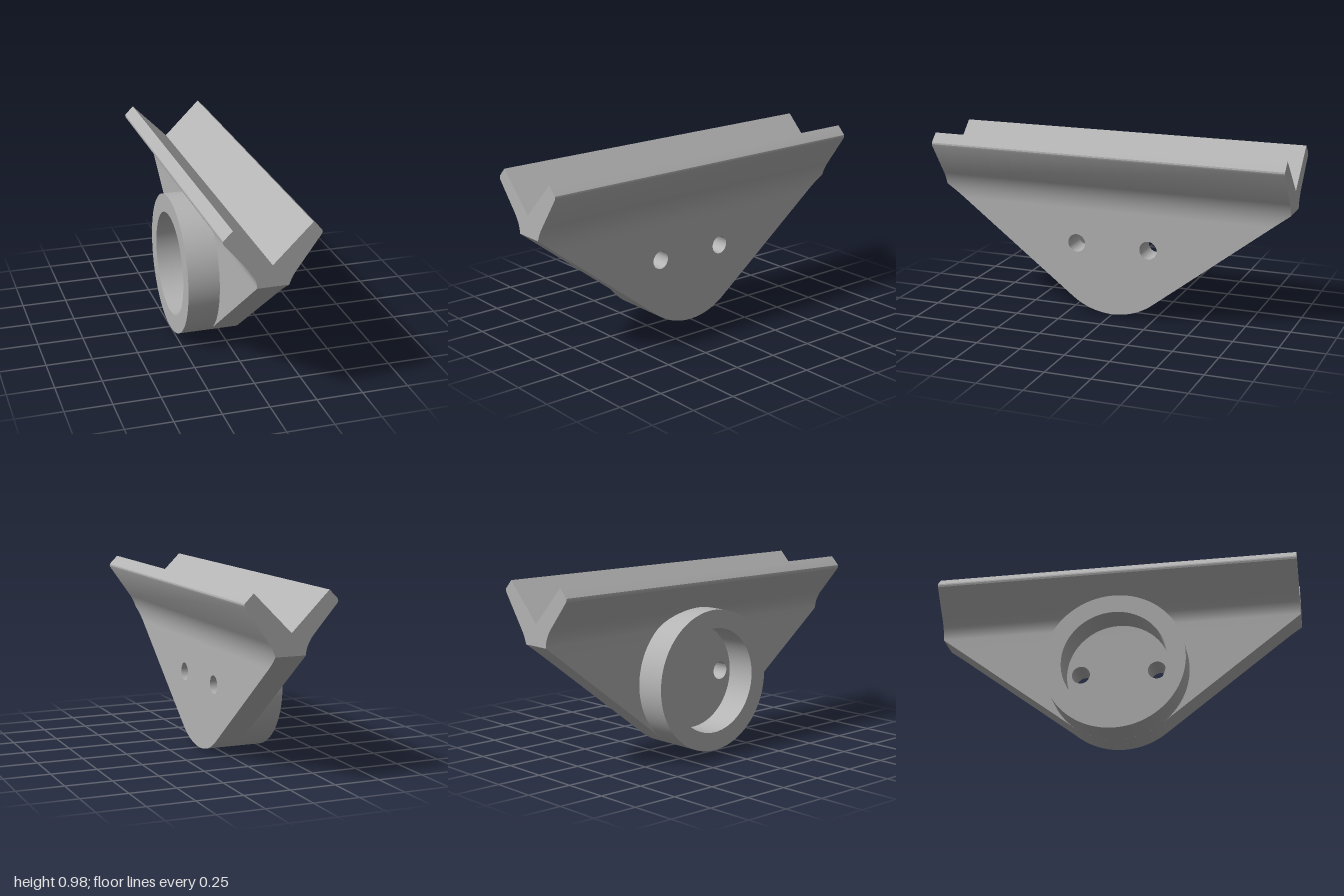
import * as THREE from 'three';
import { mergeGeometries, toCreasedNormals } from 'three/addons/utils/BufferGeometryUtils.js';

const RADIUS = 0.388, CENTER_Y = 0.39;      // round bottom of the web and the collar
const WEB_LEFT = 0.075, WEB_RIGHT = -0.078; // faces of the web in x
const NECK_Y = 0.59;                        // where the fillet starts

const v = (x, y) => new THREE.Vector2(x, y);

function circleHole(x, y, r) {
  const path = new THREE.Path();
  path.absarc(x, y, r, 0, Math.PI * 2, true);
  return path;
}

// Extrude a profile drawn in (z, y) along x, starting at x0
function extrudeAlongX(shape, x0, depth) {
  const geo = new THREE.ExtrudeGeometry(shape, { depth, bevelEnabled: false, curveSegments: 48 });
  geo.rotateY(Math.PI / 2);
  geo.translate(x0, 0, 0);
  return geo;
}

// Extrude a profile drawn in (x, y) over the whole length
function extrudeAlongZ(points) {
  const geo = new THREE.ExtrudeGeometry(new THREE.Shape(points), { depth: 2, bevelEnabled: false });
  geo.translate(0, 0, -1);
  return geo;
}

export function createModel() {
  const group = new THREE.Group();
  const grey = new THREE.MeshStandardMaterial({ color: 0xb4b4b4 });
  grey.name = 'grey';

  // Fillets from the web into the two arms
  const leftFillet = new THREE.QuadraticBezierCurve(
    v(WEB_LEFT, NECK_Y), v(WEB_LEFT, 0.672), v(0.12, 0.738)).getPoints(16);
  const railY = leftFillet[8].y;
  const rightFillet = new THREE.QuadraticBezierCurve(
    v(WEB_RIGHT, railY), v(WEB_RIGHT, 0.72), v(-0.125, 0.775)).getPoints(12);

  // V-shaped rail with chamfered, slightly rounded tips
  const tip = [v(0.247, 0.918), v(0.25, 0.928), v(0.249, 0.936), v(0.245, 0.941), v(0.202, 0.984)];
  const rail = extrudeAlongZ([
    ...leftFillet.slice(8),
    ...tip,
    v(0, 0.782),
    ...tip.map((p) => v(-p.x, p.y)).reverse(),
    ...rightFillet.reverse(),
  ]);

  // Sloping edge of the web: tangent from the rail end to the round bottom
  const rise = railY - CENTER_Y;
  const angle = Math.atan2(rise, 1) - Math.acos(RADIUS / Math.hypot(1, rise));
  const tangent = v(Math.cos(angle) * RADIUS, CENTER_Y + Math.sin(angle) * RADIUS);
  const halfLength = (y) =>
    tangent.x + (1 - tangent.x) * (y - tangent.y) / (railY - tangent.y);

  // Neck under the rail, its ends sheared to the sloping edge
  const neck = extrudeAlongZ([...leftFillet.slice(0, 9), v(WEB_RIGHT, railY), v(WEB_RIGHT, NECK_Y)]);
  const pos = neck.attributes.position;
  for (let i = 0; i < pos.count; i++) {
    pos.setZ(i, Math.sign(pos.getZ(i)) * halfLength(pos.getY(i)));
  }

  // Web plate with two screw holes
  const web = new THREE.Shape();
  web.moveTo(halfLength(NECK_Y), NECK_Y);
  web.lineTo(-halfLength(NECK_Y), NECK_Y);
  web.lineTo(-tangent.x, tangent.y);
  web.absarc(0, CENTER_Y, RADIUS, Math.PI - angle, Math.PI * 2 + angle, false);
  for (const side of [-1, 1]) web.holes.push(circleHole(side * 0.21, 0.394, 0.05));
  const plate = extrudeAlongX(web, WEB_RIGHT, WEB_LEFT - WEB_RIGHT);

  const bodyGeo = toCreasedNormals(mergeGeometries([rail, neck, plate]), 0.4);
  bodyGeo.clearGroups();
  const body = new THREE.Mesh(bodyGeo, grey);
  body.name = 'railAndWeb';
  group.add(body);

  // Round collar on the right face of the web
  const ring = new THREE.Shape();
  ring.absarc(0, CENTER_Y, RADIUS, 0, Math.PI * 2, false);
  ring.holes.push(circleHole(0, CENTER_Y, 0.287));
  const ringGeo = toCreasedNormals(extrudeAlongX(ring, -0.25, 0.25 + WEB_RIGHT), 0.4);
  ringGeo.clearGroups();
  const collar = new THREE.Mesh(ringGeo, grey);
  collar.name = 'collar';
  group.add(collar);

  return group;
}
